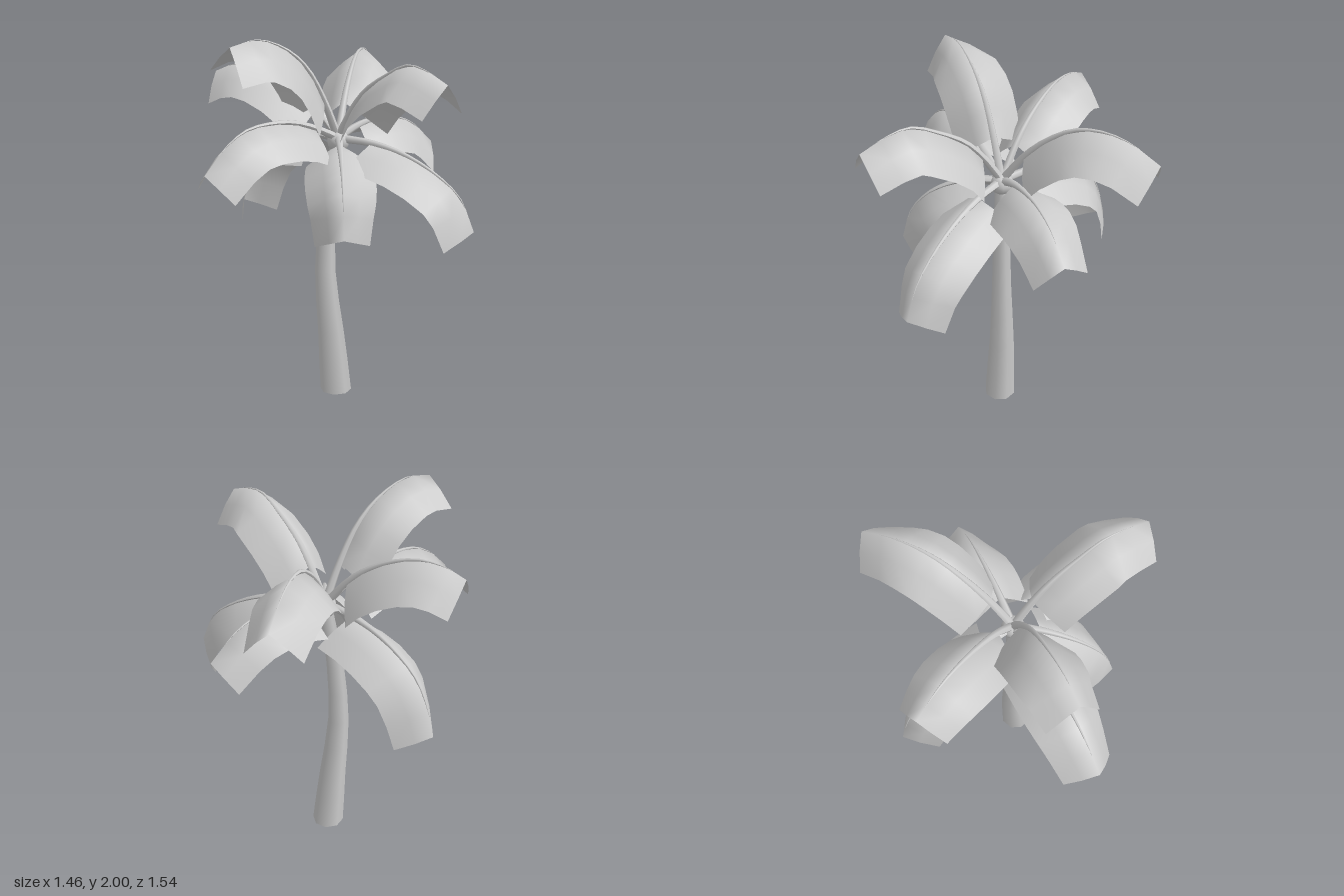
import * as THREE from 'three';

const material = new THREE.MeshStandardMaterial({ color: 0xcccccc });
const thinMaterial = new THREE.MeshStandardMaterial({ color: 0xcccccc, side: THREE.DoubleSide });
const crown = new THREE.Vector3(-0.02, 1.45, -0.08);
const UP = new THREE.Vector3(0, 1, 0);

// Each frond: ground direction [x, z], roll, and spine as [distance from crown, height]
const upperFronds = [
  { dir: [0, 1], roll: 0.2, spine: [[0, 1.45], [0.09, 1.65], [0.2, 1.83], [0.33, 1.94], [0.5, 2.0], [0.66, 1.975]] },
  { dir: [0.74, -0.05], roll: 0, spine: [[0, 1.45], [0.11, 1.62], [0.21, 1.73], [0.35, 1.82], [0.49, 1.885], [0.62, 1.87], [0.75, 1.82]] },
  { dir: [-0.6, -0.8], roll: 0, spine: [[0, 1.45], [0.12, 1.62], [0.24, 1.74], [0.38, 1.83], [0.52, 1.855], [0.66, 1.83], [0.81, 1.75]] },
  { dir: [-0.88, 0.46], roll: 0, spine: [[0, 1.45], [0.12, 1.6], [0.22, 1.69], [0.36, 1.77], [0.5, 1.81], [0.63, 1.8], [0.73, 1.76]] },
];
const lowerFronds = [
  { dir: [0.04, 0.84], roll: 0.13, spine: [[0, 1.45], [0.16, 1.525], [0.3, 1.57], [0.45, 1.585], [0.6, 1.57], [0.73, 1.5], [0.85, 1.385]] },
  { dir: [0.01, -0.6], roll: -0.15, spine: [[0, 1.45], [0.14, 1.505], [0.26, 1.525], [0.38, 1.52], [0.52, 1.47], [0.67, 1.345]] },
  { dir: [0.65, -0.33], roll: 0.08, spine: [[0, 1.45], [0.19, 1.44], [0.36, 1.40], [0.53, 1.32], [0.68, 1.2], [0.76, 1.03]] },
  { dir: [-0.7, 0.13], roll: 0, spine: [[0, 1.45], [0.18, 1.45], [0.34, 1.42], [0.48, 1.36], [0.6, 1.27], [0.68, 1.13], [0.725, 0.98]] },
  { dir: [0.42, 0.3], roll: 0, spine: [[0, 1.45], [0.14, 1.445], [0.26, 1.41], [0.38, 1.34], [0.48, 1.22], [0.53, 1.05]] },
];

function mesh(name, geometry, mat = material) {
  const m = new THREE.Mesh(geometry, mat);
  m.name = name;
  return m;
}

// Geometry from equal rows of points; normals follow row direction x column direction
function gridGeometry(rows, cols, pointAt) {
  const positions = [];
  const index = [];
  for (let i = 0; i <= rows; i++) {
    for (let j = 0; j <= cols; j++) {
      positions.push(...pointAt(i / rows, j / cols).toArray());
      if (i < rows && j < cols) {
        const a = i * (cols + 1) + j;
        const c = a + cols + 1;
        index.push(a, c, a + 1, a + 1, c, c + 1);
      }
    }
  }
  const g = new THREE.BufferGeometry();
  g.setAttribute('position', new THREE.Float32BufferAttribute(positions, 3));
  g.setIndex(index);
  g.computeVertexNormals();
  return g;
}

function makeFrond({ dir, roll, spine }, droop, name) {
  const frond = new THREE.Group();
  frond.name = name;
  const forward = new THREE.Vector3(dir[0], 0, dir[1]).normalize();
  const side = new THREE.Vector3().crossVectors(UP, forward);
  const curve = new THREE.CatmullRomCurve3(spine.map(([r, y]) =>
    new THREE.Vector3(crown.x, y, crown.z).addScaledVector(forward, r)));
  const start = 1 / (spine.length - 1);

  // Point placed relative to the spine at t: sideways, along its normal, along its tangent
  const offset = (t, lateral, normal, along = 0) => {
    const tangent = curve.getTangent(t);
    const up = new THREE.Vector3().crossVectors(tangent, side).normalize();
    return curve.getPoint(t).addScaledVector(side, lateral)
      .addScaledVector(up, normal).addScaledVector(tangent, along);
  };

  // Folded leaf blade, blunt at the tip, its edges reaching past both ends of the fold
  const blade = gridGeometry(6, 4, (u, v) => {
    const s = v * 2 - 1;
    const edge = Math.abs(s);
    const x = s * (0.17 + 0.02 * Math.sin(u * Math.PI) - 0.03 * u * u);
    const y = -droop * Math.pow(edge, 1.2);
    return offset(start + (1 - start) * u,
      x * Math.cos(roll) + y * Math.sin(roll), y * Math.cos(roll) - x * Math.sin(roll),
      edge * (0.09 * u - 0.06));
  });
  frond.add(mesh('leafBlade', blade, thinMaterial));

  // Tapering stem along the fold
  const stem = gridGeometry(12, 6, (u, v) => {
    const a = v * Math.PI * 2;
    const r = 0.022 * (1 - u) + 0.001;
    return offset(u * 0.88, Math.cos(a) * r, -Math.sin(a) * r);
  });
  frond.add(mesh('leafStem', stem, thinMaterial));
  return frond;
}

// Curved trunk: a cylinder whose rings follow a centre line with changing radius
function makeTrunk() {
  const centre = new THREE.CatmullRomCurve3([
    [-0.022, 0, -0.07], [-0.043, 0.36, -0.05], [-0.055, 0.72, -0.02],
    [-0.045, 1.08, -0.035], [-0.02, 1.44, -0.078],
  ].map((p) => new THREE.Vector3(...p)));
  const radius = new THREE.SplineCurve([0.087, 0.072, 0.056, 0.046, 0.035]
    .map((r, i) => new THREE.Vector2(i, r)));
  const g = new THREE.CylinderGeometry(1, 1, 1, 8, 8);
  const p = g.attributes.position;
  for (let i = 0; i < p.count; i++) {
    const t = p.getY(i) + 0.5;
    const c = centre.getPoint(t);
    const r = radius.getPoint(t).y;
    p.setXYZ(i, c.x + p.getX(i) * r, c.y, c.z + p.getZ(i) * r);
  }
  return mesh('trunk', g);
}

export function createModel() {
  const palm = new THREE.Group();
  palm.name = 'palmTree';
  palm.add(makeTrunk());

  // Knob where the stems meet
  const knob = mesh('crownKnob', new THREE.SphereGeometry(0.06, 10, 8));
  knob.position.set(crown.x, crown.y - 0.015, crown.z);
  palm.add(knob);

  upperFronds.forEach((f) => palm.add(makeFrond(f, 0.155, 'upperFrond')));
  lowerFronds.forEach((f) => palm.add(makeFrond(f, 0.145, 'lowerFrond')));
  return palm;
}
